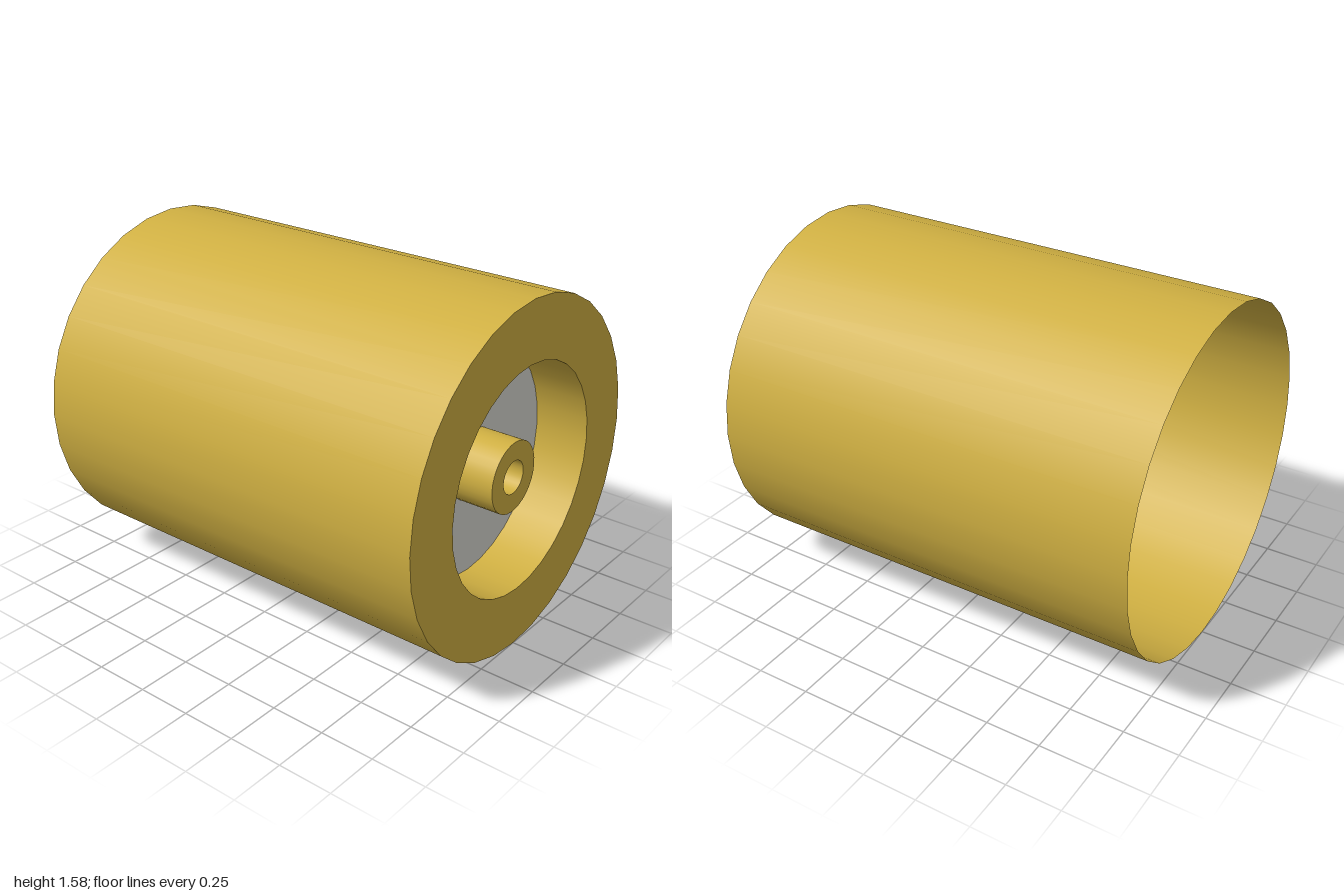
import * as THREE from 'three';

const SIDES = 32;
const AXIS_Y = 0.79;

function material(name, color) {
  const m = new THREE.MeshStandardMaterial({ color, side: THREE.DoubleSide });
  m.name = name;
  return m;
}

export function createModel() {
  const gold = material('gold', 0xd0b042);
  const grey = material('light grey', 0xd6d6d0);
  const black = material('black', 0x0d0d0d);
  const group = new THREE.Group();
  group.name = 'hollowRoller';

  // One band of revolution about the x axis, from (radius, x) to (radius, x);
  // separate bands keep the rims sharp and the walls smooth.
  function band(name, mat, r0, x0, r1, x1) {
    const profile = [new THREE.Vector2(r0, x0), new THREE.Vector2(r1, x1)];
    const geometry = new THREE.LatheGeometry(profile, SIDES);
    geometry.rotateZ(-Math.PI / 2);
    const mesh = new THREE.Mesh(geometry, mat);
    mesh.name = name;
    mesh.position.y = AXIS_Y;
    group.add(mesh);
  }

  const outer = 0.79, recess = 0.513, hub = 0.162, bore = 0.075;
  const end = 1, hubEnd = 0.95, floor = 0.75;

  // Thin drum, open at its left end
  band('drumWall', gold, outer, -1, outer, end);
  band('endRing', gold, outer, end, recess, end);

  // Recess in the right end
  band('recessWall', gold, recess, end, recess, floor);
  band('recessFloor', grey, recess, floor, hub, floor);

  // Hollow hub in the middle of the recess
  band('hubWall', gold, hub, floor, hub, hubEnd);
  band('hubFace', gold, hub, hubEnd, bore, hubEnd);
  band('hubBore', gold, bore, hubEnd, bore, floor);
  band('hubBase', grey, hub, floor, bore, floor);
  band('boreBottom', black, bore, floor, 0, floor);

  return group;
}
